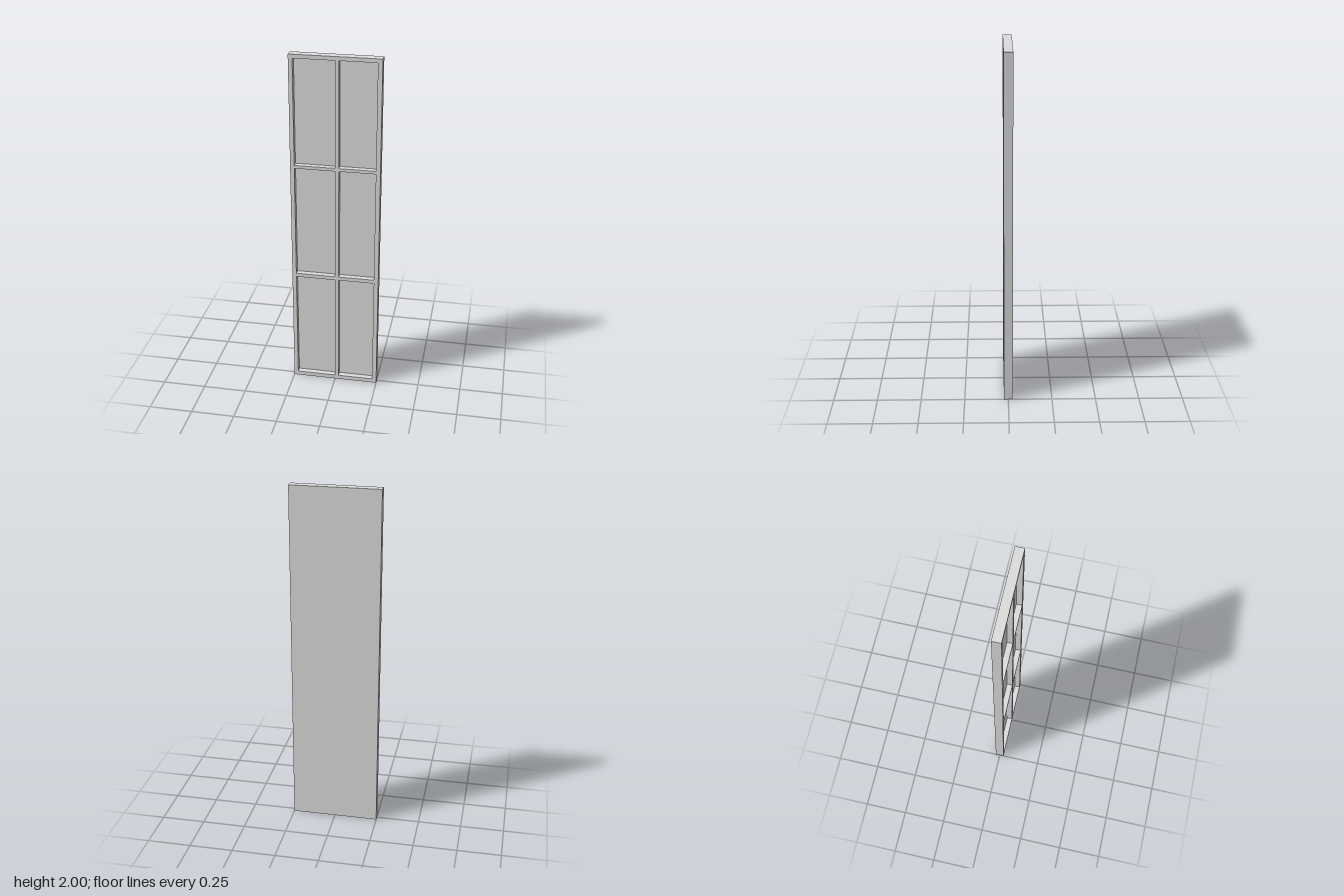
import * as THREE from 'three';

const HALF_W = 0.25, HEIGHT = 2, FRONT = 0.025, FLOOR = -0.007, BACK = -0.025;
const COLUMNS = [[-0.227, 0], [0.021, 0.225]];
const ROWS = [[0.025, 0.68], [0.702, 1.357], [1.375, 1.978]];

export function createModel() {
  const group = new THREE.Group();
  const grey = new THREE.MeshStandardMaterial({ color: 0xdddddd, side: THREE.DoubleSide });
  grey.name = 'lightGrey';

  const add = (name, geometry) => {
    const mesh = new THREE.Mesh(geometry, grey);
    mesh.name = name;
    group.add(mesh);
    return mesh;
  };
  // Flat sheets facing front or back, sideways, and up or down
  const facingZ = (name, x0, x1, y0, y1, z, turn = 0) => {
    const sheet = add(name, new THREE.PlaneGeometry(x1 - x0, y1 - y0));
    sheet.position.set((x0 + x1) / 2, (y0 + y1) / 2, z);
    sheet.rotation.y = turn;
  };
  const facingX = (name, x, y0, y1, z0, z1, side) => {
    const sheet = add(name, new THREE.PlaneGeometry(z1 - z0, y1 - y0));
    sheet.position.set(x, (y0 + y1) / 2, (z0 + z1) / 2);
    sheet.rotation.y = side * Math.PI / 2;
  };
  const facingY = (name, x0, x1, y, z0, z1, side) => {
    const sheet = add(name, new THREE.PlaneGeometry(x1 - x0, z1 - z0));
    sheet.position.set((x0 + x1) / 2, y, (z0 + z1) / 2);
    sheet.rotation.x = -side * Math.PI / 2;
  };
  const trace = (path, x0, x1, y0, y1) =>
    path.moveTo(x0, y0).lineTo(x1, y0).lineTo(x1, y1).lineTo(x0, y1).closePath();

  // Outer shell, open at the bottom
  facingZ('backSheet', -HALF_W, HALF_W, 0, HEIGHT, BACK, Math.PI);
  for (const side of [-1, 1]) facingX('sideEdge', side * HALF_W, 0, HEIGHT, BACK, FRONT, side);
  facingY('topEdge', -HALF_W, HALF_W, HEIGHT, BACK, FRONT, 1);

  // Front grid, with a walled and floored recess in each opening
  const grid = new THREE.Shape();
  trace(grid, -HALF_W, HALF_W, 0, HEIGHT);
  for (const [x0, x1] of COLUMNS) for (const [y0, y1] of ROWS) {
    const hole = new THREE.Path();
    trace(hole, x0, x1, y0, y1);
    grid.holes.push(hole);
    facingZ('recessedPanel', x0, x1, y0, y1, FLOOR);
    facingX('recessWall', x0, y0, y1, FLOOR, FRONT, 1);
    facingX('recessWall', x1, y0, y1, FLOOR, FRONT, -1);
    facingY('recessLedge', x0, x1, y0, FLOOR, FRONT, 1);
    facingY('recessLintel', x0, x1, y1, FLOOR, FRONT, -1);
  }
  add('frontGrid', new THREE.ShapeGeometry(grid)).position.z = FRONT;
  return group;
}
